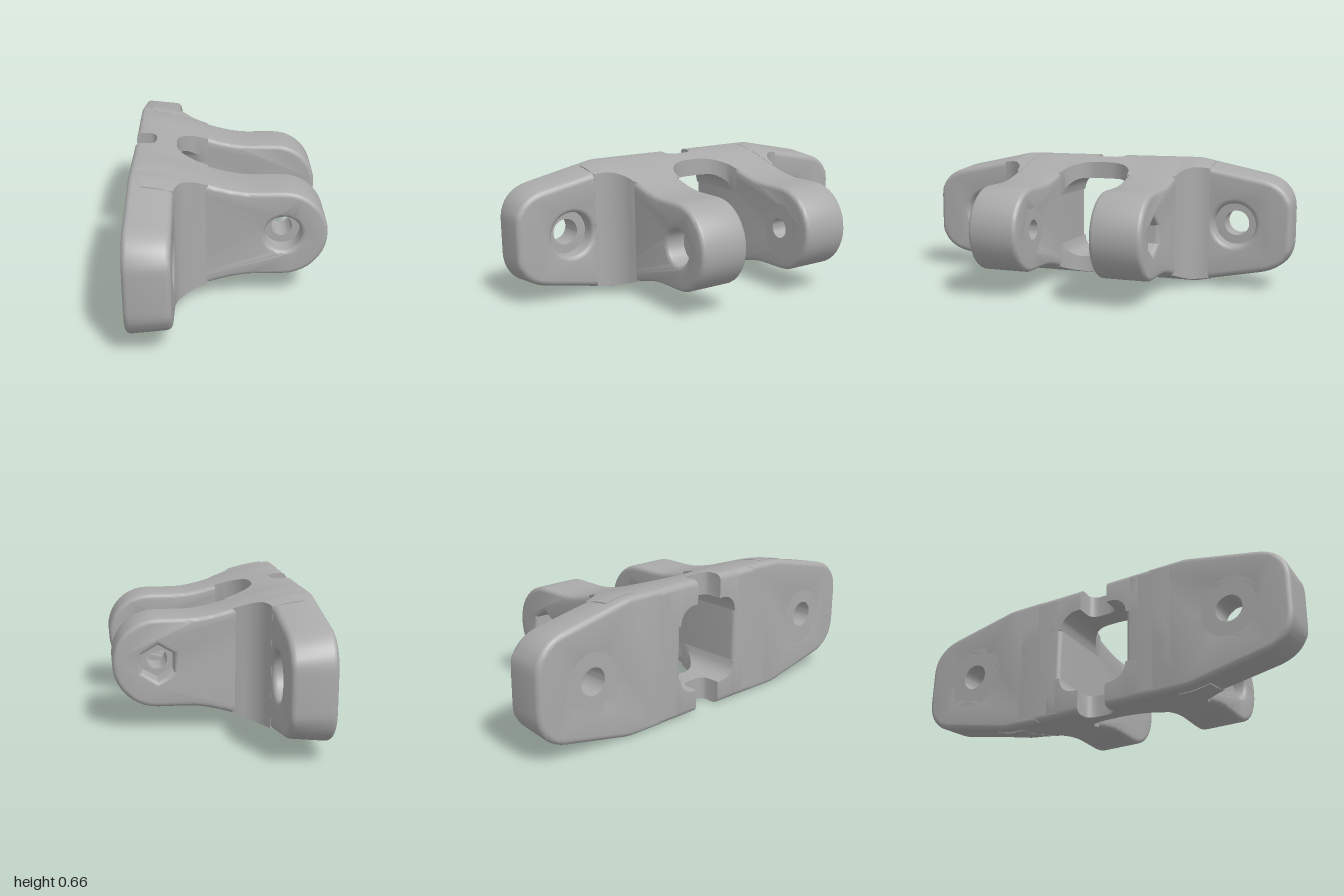
import * as THREE from 'three';
import { toCreasedNormals } from 'three/addons/utils/BufferGeometryUtils.js';

const BACK = -0.46, FACE = -0.255, MID = 0.33, FILLET = 0.155;
const ARM_IN = 0.185, ARM_OUT = 0.44, PIN_X = 0.25, ARM_R = 0.212, BOLT_Z = 0.71;

// half height of the body along x, and its narrowing toward the wing tips
const halfHeight = x => MID - (MID - ARM_R) * THREE.MathUtils.smoothstep(x, -0.43, 0.12);
const backRound = x => (x < -0.43 ? 0.03 - Math.sqrt(Math.max(0, 0.0009 - (x + 0.43) ** 2)) : 0);
const taper = z => 1 - Math.max(0, z - 0.5) * 0.64;

function circle(target, x, y, r, n = 32) {
  const pts = [];
  for (let i = 0; i < n; i++) {
    const a = (i / n) * Math.PI * 2 + Math.PI / 6;
    pts.push(new THREE.Vector2(x + r * Math.cos(a), y + r * Math.sin(a)));
  }
  return new target(pts);
}

// extrude from z0 to z1 with rounded edges that stay inside the outline
function roundedExtrude(shape, z0, z1, bevel) {
  const geo = new THREE.ExtrudeGeometry(shape, {
    depth: z1 - z0 - 2 * bevel, bevelEnabled: bevel > 0, bevelThickness: bevel, bevelSize: bevel,
    bevelOffset: -bevel, bevelSegments: 4, curveSegments: 10,
  });
  return geo.translate(0, 0, z0 + bevel);
}

// skin over closed cross-sections stacked along z
function loft(rings) {
  const n = rings[0].length, pos = rings.flat(2), idx = [];
  for (let i = 0; i < rings.length - 1; i++) {
    for (let j = 0; j < n; j++) {
      const a = i * n + j, b = i * n + (j + 1) % n;
      idx.push(a, b, b + n, a, b + n, a + n);
    }
  }
  const last = (rings.length - 1) * n;
  for (let j = 1; j < n - 1; j++) idx.push(0, j + 1, j, last, last + j, last + j + 1);
  const geo = new THREE.BufferGeometry();
  geo.setAttribute('position', new THREE.Float32BufferAttribute(pos, 3));
  geo.setIndex(idx);
  return geo;
}

// one cross-section at z: top edge from front to back, then bottom edge
function section(z, xBack, xFront, top, bottom, n = 14) {
  const up = [], down = [];
  for (let i = 0; i <= n; i++) {
    const x = xFront + (xBack - xFront) * (1 - (1 - i / n) ** 1.6);
    up.push([x, top(x), z]);
    down.unshift([x, bottom(x), z]);
  }
  return [...up, ...down];
}

// clevis arm with its pocket, in the xy plane
function armGeometry(pocketSides) {
  const s = new THREE.Shape();
  const n = 28, edge = [];
  for (let i = 0; i <= n; i++) {
    const x = -0.43 + (PIN_X + 0.43) * (i / n);
    edge.push([x, halfHeight(x)]);
  }
  s.moveTo(BACK, -0.3);
  s.absarc(-0.43, -0.3, 0.03, Math.PI, Math.PI * 1.5, false);
  edge.slice(1).forEach(([x, y]) => s.lineTo(x, -y));
  s.absarc(PIN_X, 0, ARM_R, -Math.PI / 2, Math.PI / 2, false);
  edge.slice(0, -1).reverse().forEach(([x, y]) => s.lineTo(x, y));
  s.absarc(-0.43, 0.3, 0.03, Math.PI / 2, Math.PI, false);
  s.holes.push(circle(THREE.Path, PIN_X, 0, 0.087, pocketSides));
  return roundedExtrude(s, ARM_IN, ARM_OUT, 0.022);
}

// pierced floor of a pocket
function floorGeometry(x, outer, inner, z0, z1) {
  const s = circle(THREE.Shape, x, 0, outer);
  s.holes.push(circle(THREE.Path, x, 0, inner));
  return roundedExtrude(s, z0, z1, 0);
}

// turns an extrusion along z into one along x, with the outline's x becoming z
const alongX = geo => geo.rotateY(Math.PI / 2).rotateX(Math.PI);

// mounting wing, outlined in the zy plane
function wingGeometry() {
  const s = new THREE.Shape();
  s.moveTo(0.3, -MID);
  s.lineTo(0.47, -MID);
  s.quadraticCurveTo(0.5, -MID, 0.53, -0.323);
  s.lineTo(0.85, -0.256);
  s.bezierCurveTo(0.95, -0.235, 1, -0.17, 1, -0.08);
  s.lineTo(1, 0.08);
  s.bezierCurveTo(1, 0.17, 0.95, 0.235, 0.85, 0.256);
  s.lineTo(0.53, 0.323);
  s.quadraticCurveTo(0.5, MID, 0.47, MID);
  s.lineTo(0.3, MID);
  s.holes.push(circle(THREE.Path, BOLT_Z, 0, 0.11));
  const geo = alongX(roundedExtrude(s, BACK, FACE, 0.025));
  // the outline gets lower toward the front face
  const p = geo.attributes.position;
  for (let i = 0; i < p.count; i++) {
    if (Math.abs(p.getY(i)) > 0.14) p.setY(i, p.getY(i) * halfHeight(p.getX(i)) / MID);
  }
  return geo;
}

// concave blend between wing and outer face of the arm
function filletGeometry() {
  const rings = [];
  for (let i = 0; i <= 14; i++) {
    const z = 0.425 + 0.157 * (i / 14) ** 1.5;
    const d = Math.min(FILLET, 0.595 - z);
    const xFront = -0.1 - Math.sqrt(FILLET ** 2 - d ** 2);
    const top = x => halfHeight(x) * taper(z);
    rings.push(section(z, -0.4, xFront, top, x => -top(x)));
  }
  return loft(rings);
}

// bridge over the window, with the rear slot and the blends into both arms
function bridgeGeometry() {
  const half = [[0, -0.355], [0.03, -0.355], [0.05, -0.36], [0.065, -0.37], [0.075, -0.385],
    [0.075, BACK], [0.1, BACK], [0.12, BACK], [0.14, BACK], [0.155, BACK], [0.168, BACK],
    [0.178, BACK], [0.185, BACK], [0.25, BACK]];
  const all = [...half.slice(1).reverse().map(([z, x]) => [-z, x]), ...half];
  return loft(all.map(([z, xBack]) => {
    const a = Math.abs(z);
    const d = THREE.MathUtils.clamp(a - 0.03, 0, FILLET);
    const c = THREE.MathUtils.clamp(a - 0.1, 0, 0.085);
    const xFront = -0.1 - Math.sqrt(FILLET ** 2 - d ** 2);
    const under = 0.13 + Math.sqrt(0.085 ** 2 - c ** 2);
    return section(z, xBack, xFront, x => halfHeight(x) - backRound(x), () => under);
  }));
}

export function createModel() {
  const model = new THREE.Group();
  model.name = 'clevisBracket';
  const grey = new THREE.MeshStandardMaterial({ color: 0xaaaaaa });
  grey.name = 'grey';

  const add = (parent, name, geo) => {
    const mesh = new THREE.Mesh(toCreasedNormals(geo, 0.6), grey);
    mesh.name = name;
    parent.add(mesh);
  };

  // the two halves differ only in the pocket: round in front, hexagonal behind
  [['frontHalf', 32, 0], ['rearHalf', 6, Math.PI]].forEach(([name, sides, turn]) => {
    const half = new THREE.Group();
    half.name = name;
    half.position.y = MID;
    half.rotation.x = turn;
    add(half, 'arm', armGeometry(sides));
    add(half, 'pinPocketFloor', floorGeometry(PIN_X, 0.13, 0.05, ARM_IN, 0.34));
    add(half, 'wing', wingGeometry());
    add(half, 'boltPocketFloor', alongX(floorGeometry(BOLT_Z, 0.16, 0.065, BACK, -0.335)));
    add(half, 'outerFillet', filletGeometry());
    add(half, turn ? 'lowerBridge' : 'upperBridge', bridgeGeometry());
    model.add(half);
  });
  return model;
}
